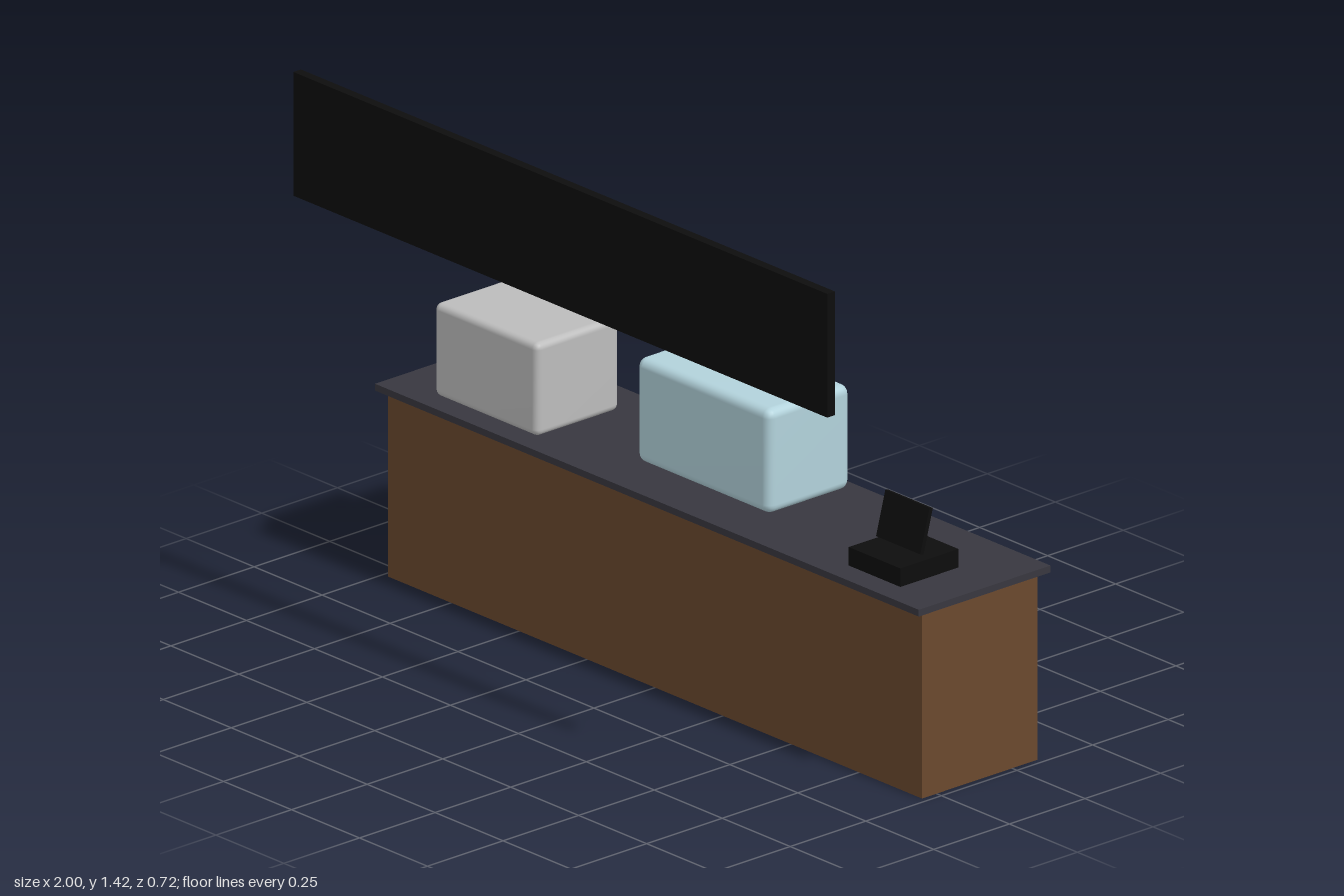
import * as THREE from 'three';
import { mergeVertices } from 'three/addons/utils/BufferGeometryUtils.js';
import { RoundedBoxGeometry } from 'three/addons/geometries/RoundedBoxGeometry.js';

const material = (name, color) => {
  const m = new THREE.MeshStandardMaterial({ color });
  m.name = name;
  return m;
};

// Rounded box with normals blended softly over faces and edges
function softBox(w, h, d, radius) {
  const g = new RoundedBoxGeometry(w, h, d, 3, radius);
  g.deleteAttribute('normal');
  g.deleteAttribute('uv');
  const merged = mergeVertices(g);
  merged.clearGroups();
  merged.computeVertexNormals();
  return merged;
}

export function createModel() {
  const model = new THREE.Group();
  model.name = 'serviceCounter';

  const wood = material('brown wood', 0x6a482e);
  const slate = material('dark slate', 0x38373f);
  const black = material('black', 0x0d0d0d);
  const blue = material('pale blue', 0xb2d2db);
  const grey = material('light grey', 0xbcbcbc);

  // Adds a box given by its x, y and z ranges; a radius rounds it
  function block(name, mat, [x0, x1], [y0, y1], [z0, z1], radius = 0) {
    const size = [x1 - x0, y1 - y0, z1 - z0];
    const geometry = radius ? softBox(...size, radius) : new THREE.BoxGeometry(...size);
    const mesh = new THREE.Mesh(geometry, mat);
    mesh.name = name;
    mesh.position.set((x0 + x1) / 2, (y0 + y1) / 2, (z0 + z1) / 2);
    model.add(mesh);
    return mesh;
  }

  // Counter
  block('cabinet', wood, [-0.982, 0.982], [0, 0.495], [-0.334, 0.048]);
  block('countertop', slate, [-1, 1], [0.495, 0.513], [-0.361, 0.075]);

  // Appliances on the counter
  block('greyAppliance', grey, [-0.847, -0.467], [0.513, 0.76], [-0.256, 0.019], 0.018);
  block('blueAppliance', blue, [-0.193, 0.297], [0.513, 0.79], [-0.334, -0.061], 0.024);

  // Till with a screen leaning back
  block('tillBase', black, [0.668, 0.858], [0.513, 0.562], [-0.184, 0.008]);
  const screen = block('tillScreen', black, [0.684, 0.847], [0.572, 0.691], [-0.094, -0.083]);
  screen.rotation.x = -0.26;

  // Menu board hanging in front
  block('menuBoard', black, [-0.982, 0.982], [1.094, 1.422], [0.336, 0.361]);

  return model;
}
